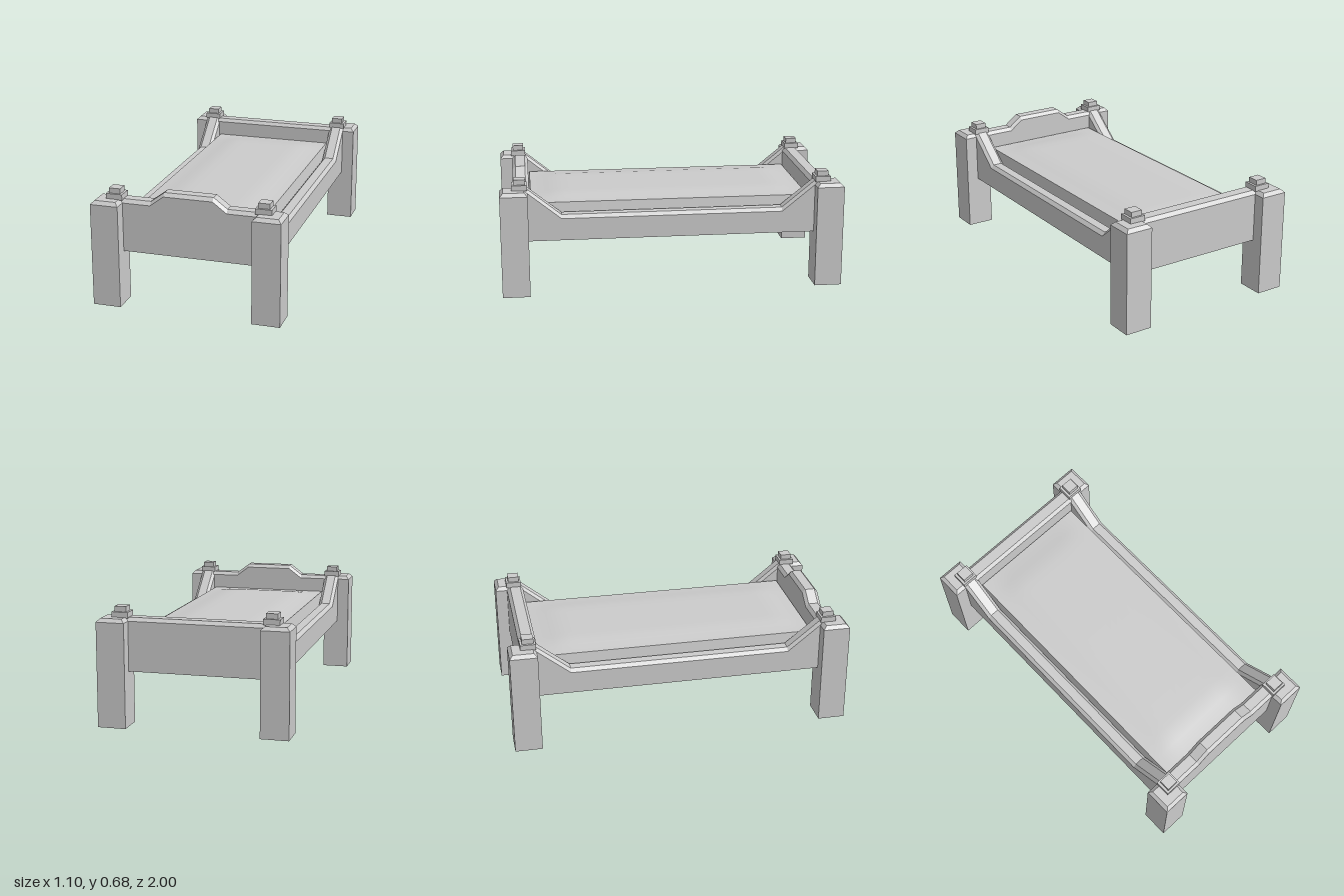
import * as THREE from 'three';

const material = new THREE.MeshStandardMaterial({ color: 0xcccccc, flatShading: true });
const smooth = new THREE.MeshStandardMaterial({ color: 0xcccccc });
const BOTTOM = 0.315; // underside of the frame
const BEVEL = 0.02;

// Bevelled board: a six-sided section swept along a shoulder line of [x, y] points.
function boardGeometry(path, outer, outerTop, innerTop, inner) {
  const rings = path.map(([x, y]) => [
    [x, BOTTOM, outer], [x, y, outer], [x, y + BEVEL, outerTop],
    [x, y + BEVEL, innerTop], [x, y, inner], [x, BOTTOM, inner],
  ]);
  const pos = [];
  const tri = (a, b, c) => pos.push(...a, ...b, ...c);
  for (let i = 0; i < rings.length - 1; i++) {
    const r = rings[i], s = rings[i + 1];
    for (let j = 0; j < 6; j++) {
      const k = (j + 1) % 6;
      tri(r[j], s[j], s[k]);
      tri(r[j], s[k], r[k]);
    }
  }
  const first = rings[0], last = rings[rings.length - 1];
  for (let k = 1; k < 5; k++) {
    tri(first[0], first[k], first[k + 1]);
    tri(last[0], last[k + 1], last[k]);
  }
  const g = new THREE.BufferGeometry();
  g.setAttribute('position', new THREE.Float32BufferAttribute(pos, 3));
  g.computeVertexNormals();
  return g;
}

// Completes a half profile symmetrically about x = 0.
const mirrored = (half) => [...half, ...half.map(([x, y]) => [-x, y]).reverse()];

function box(name, w, h, d, x, y0, z) {
  const mesh = new THREE.Mesh(new THREE.BoxGeometry(w, h, d), material);
  mesh.name = name;
  mesh.position.set(x, y0 + h / 2, z);
  return mesh;
}

// Square post with chamfered top and a stepped finial toward the inner corner.
function cornerPost(sx, sz) {
  const post = new THREE.Group();
  post.name = (sz > 0 ? 'front' : 'back') + (sx > 0 ? 'Left' : 'Right') + 'Post';
  const w = 0.163, d = 0.16;
  const x = sx * 0.467, z = sz * 0.92;
  post.add(box('leg', w, 0.6, d, x, 0, z));
  const cap = box('chamferedCap', w, BEVEL, d, x, 0.6, z);
  const p = cap.geometry.attributes.position;
  for (let i = 0; i < p.count; i++) {
    if (p.getY(i) > 0) {
      p.setX(i, p.getX(i) - Math.sign(p.getX(i)) * BEVEL);
      p.setZ(i, p.getZ(i) - Math.sign(p.getZ(i)) * BEVEL);
    }
  }
  cap.geometry.computeVertexNormals();
  post.add(cap);
  post.add(box('finialBase', 0.095, 0.033, 0.09, sx * 0.432, 0.617, sz * 0.887));
  post.add(box('finialTop', 0.067, 0.03, 0.066, sx * 0.432, 0.65, sz * 0.887));
  return post;
}

// Tapered mattress with a softly domed top.
function mattress() {
  const y0 = 0.42, edge = 0.515, h = edge - y0, hx = 0.385, hz = 0.83;
  const g = new THREE.BoxGeometry(hx * 2, h, hz * 2, 16, 1, 32);
  const p = g.attributes.position;
  const rise = (distance) => THREE.MathUtils.smoothstep(distance, 0, 0.19);
  for (let i = 0; i < p.count; i++) {
    if (p.getY(i) < 0) continue;
    const x = p.getX(i), z = p.getZ(i);
    p.setXYZ(i, x * 0.962, h / 2 + 0.02 * rise(hx - Math.abs(x)) * rise(hz - Math.abs(z)), z * 0.988);
  }
  g.computeVertexNormals();
  const mesh = new THREE.Mesh(g, smooth);
  mesh.name = 'mattress';
  mesh.position.y = y0 + h / 2;
  return mesh;
}

export function createModel() {
  const bed = new THREE.Group();
  bed.name = 'bed';

  for (const sx of [-1, 1]) for (const sz of [-1, 1]) bed.add(cornerPost(sx, sz));

  // End boards: raised centre at the front, straight at the back
  const addBoard = (name, geometry, turn) => {
    const mesh = new THREE.Mesh(geometry, material);
    mesh.name = name;
    mesh.rotation.y = turn;
    bed.add(mesh);
  };
  const raised = mirrored([[-0.41, 0.6], [-0.222, 0.6], [-0.142, 0.66]]);
  addBoard('frontBoard', boardGeometry(raised, 0.925, 0.905, 0.848, 0.83), 0);
  addBoard('backBoard', boardGeometry([[-0.41, 0.6], [0.41, 0.6]], 0.93, 0.91, 0.848, 0.83), Math.PI);

  // Side rails sweep up to the posts at both ends
  const sweep = mirrored([[-0.86, 0.617], [-0.648, 0.445]]);
  const rail = boardGeometry(sweep, 0.476, 0.457, 0.403, 0.385);
  addBoard('leftRail', rail, Math.PI / 2);
  addBoard('rightRail', rail, -Math.PI / 2);

  // Bed base and mattress
  bed.add(box('bedBase', 0.77, 0.105, 1.66, 0, BOTTOM, 0));
  bed.add(mattress());
  return bed;
}
